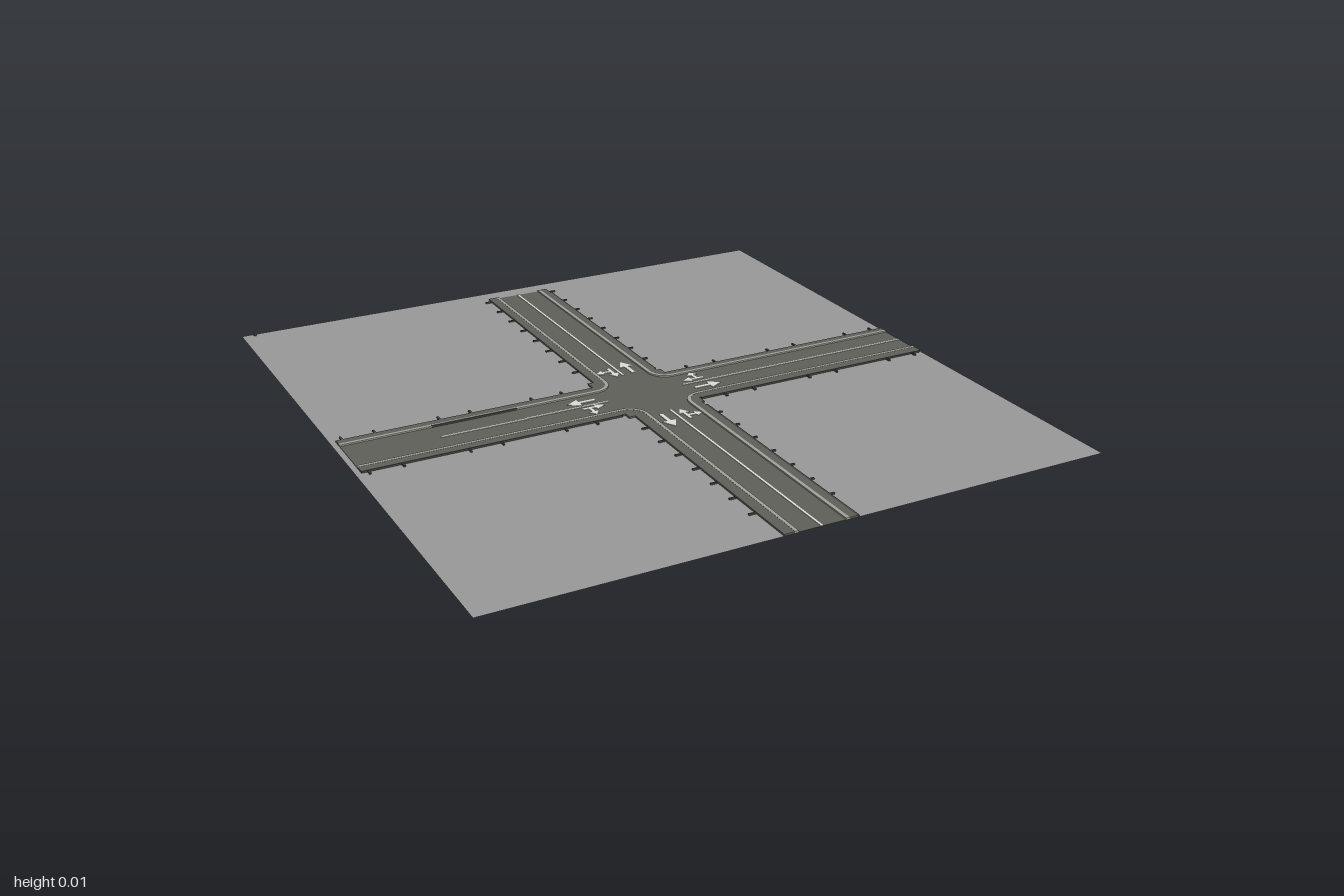
import * as THREE from 'three';

const mat = (name, color, side = THREE.FrontSide) => {
  const m = new THREE.MeshStandardMaterial({ color, side });
  m.name = name;
  return m;
};

export function createModel() {
  const ground = mat('ground grey', 0x999999, THREE.DoubleSide);
  const asphalt = mat('asphalt', 0x60605a);
  const kerbStone = mat('kerb stone', 0xa2a29c);
  const paint = mat('white paint', 0xdcdcd8);
  const dark = mat('dark edging', 0x454542);

  const model = new THREE.Group();
  model.name = 'crossroads';

  const add = (name, geo, material) => {
    const mesh = new THREE.Mesh(geo, material);
    mesh.name = name;
    model.add(mesh);
    return mesh;
  };
  // Slab given by its plan rectangle and its bottom and top heights
  const slab = (name, x0, x1, z0, z1, y0, y1, material) => {
    const geo = new THREE.BoxGeometry(x1 - x0, y1 - y0, z1 - z0);
    geo.translate((x0 + x1) / 2, (y0 + y1) / 2, (z0 + z1) / 2);
    return add(name, geo, material);
  };
  // Slab with a plan outline of [x, z] points
  const outline = (name, points, y0, y1, material) => {
    const shape = new THREE.Shape(points.map(([x, z]) => new THREE.Vector2(x, -z)));
    const geo = new THREE.ExtrudeGeometry(shape, { depth: y1 - y0, bevelEnabled: false });
    geo.rotateX(-Math.PI / 2).translate(0, y0, 0);
    return add(name, geo, material);
  };

  // Ground
  add('ground', new THREE.PlaneGeometry(1.915, 2).rotateX(-Math.PI / 2), ground);
  slab('groundMarker', -0.92, -0.912, -1, -0.985, 0, 0.004, dark);

  // Carriageways
  const roadTop = 0.002;
  [
    ['junctionSurface', -0.12, 0.135, -0.105, 0.175],
    ['northRoad', -0.1, 0.12, -0.935, -0.105],
    ['southRoad', -0.1, 0.125, 0.175, 1],
    ['westRoad', -0.94, -0.12, -0.07, 0.15],
    ['eastRoad', 0.135, 0.955, -0.075, 0.145],
  ].forEach(([name, ...r]) => slab(name, ...r, 0.0005, roadTop, asphalt));

  // Raised pavement and kerb round each corner of the junction
  const radius = 0.06;
  const corners = [
    { name: 'northWest', sx: -1, sz: -1, kx: -0.061, kz: -0.034, ox: -0.1, oz: -0.07, px: -0.12, pz: -0.105, ex: -0.94, ez: -0.935 },
    { name: 'northEast', sx: 1, sz: -1, kx: 0.087, kz: -0.042, ox: 0.12, oz: -0.075, px: 0.135, pz: -0.105, ex: 0.955, ez: -0.935 },
    { name: 'southWest', sx: -1, sz: 1, kx: -0.056, kz: 0.113, ox: -0.1, oz: 0.15, px: -0.12, pz: 0.175, ex: -0.94, ez: 1 },
    { name: 'southEast', sx: 1, sz: 1, kx: 0.09, kz: 0.104, ox: 0.125, oz: 0.145, px: 0.135, pz: 0.175, ex: 0.955, ez: 1 },
  ];
  for (const c of corners) {
    const edge = (offset) => {
      const pts = [[c.kx + c.sx * offset, c.ez]];
      for (let i = 0; i <= 10; i++) {
        const t = (i / 10) * Math.PI / 2;
        pts.push([
          c.kx + c.sx * (radius - Math.cos(t) * (radius - offset)),
          c.kz + c.sz * (radius - Math.sin(t) * (radius - offset)),
        ]);
      }
      pts.push([c.ex, c.kz + c.sz * offset]);
      return pts;
    };
    const kerbWidth = 0.011;
    outline(c.name + 'Kerb', [...edge(0), ...edge(kerbWidth).reverse()], 0.001, 0.0065, kerbStone);
    outline(c.name + 'Pavement', [
      ...edge(kerbWidth),
      [c.ex, c.oz], [c.px, c.oz], [c.px, c.pz], [c.ox, c.pz], [c.ox, c.ez],
    ], 0.001, 0.006, asphalt);

    // Short posts along the outer edges
    for (let i = 0; i < 8; i++) {
      const d = 0.22 + i * 0.1;
      const z = c.sz < 0 ? -d + 0.01 : d + 0.04;
      const x = c.sx * d;
      const x1 = c.ox + c.sx * 0.022, z1 = c.oz + c.sz * 0.022;
      if (Math.abs(z) < 0.92) {
        slab('verticalRoadPost', Math.min(c.ox, x1), Math.max(c.ox, x1), z - 0.003, z + 0.003, 0.0005, 0.005, dark);
      }
      if (i % 3 !== 2) {
        slab('sideRoadPost', x - 0.003, x + 0.003, Math.min(c.oz, z1), Math.max(c.oz, z1), 0.0005, 0.005, dark);
      }
    }
  }

  // Dark edging strips
  slab('southEdging', 0.125, 0.132, 0.2, 1, 0.0005, 0.006, dark);
  slab('northEdging', 0.12, 0.125, -0.9, -0.12, 0.0005, 0.006, dark);
  slab('westEdging', -0.94, -0.13, 0.15, 0.155, 0.0005, 0.006, dark);
  slab('eastEdging', 0.14, 0.95, 0.145, 0.15, 0.0005, 0.006, dark);
  slab('westGutter', -0.66, -0.39, -0.04, -0.033, 0.002, 0.0072, dark);

  // Centre lines
  const lineTop = 0.0035;
  [
    ['northCentreLine', 0.007, 0.014, -0.935, -0.12],
    ['southCentreLine', 0.012, 0.019, 0.18, 1],
    ['westCentreLineFar', -0.66, -0.39, 0.038, 0.044],
    ['westCentreLineNear', -0.39, -0.12, 0.035, 0.041],
    ['eastCentreLine', 0.14, 0.955, 0.028, 0.034],
  ].forEach(([name, ...r]) => slab(name, ...r, 0.0015, lineTop, paint));

  // Lane arrows: drawn pointing north with the tail at the origin, then turned
  const straight = [[
    [-0.006, 0], [0.006, 0], [0.006, 0.052], [0.022, 0.052],
    [0, 0.092], [-0.022, 0.052], [-0.006, 0.052],
  ]];
  const straightOrRight = [[
    [-0.005, 0], [0.005, 0], [0.005, 0.018], [0.028, 0.018], [0.028, 0.006],
    [0.05, 0.023], [0.028, 0.04], [0.028, 0.028], [0.005, 0.028], [0.005, 0.042],
    [0.017, 0.042], [0, 0.072], [-0.017, 0.042], [-0.005, 0.042],
  ]];
  const arrow = (name, [points], x, z, turn) => {
    const mesh = outline(name, points.map(([px, pn]) => [px, -pn]), 0.0015, lineTop, paint);
    mesh.position.set(x, 0, z);
    mesh.rotation.y = turn;
  };
  const q = Math.PI / 2;
  arrow('northExitArrow', straight, 0.05, -0.125, 0);
  arrow('southExitArrow', straight, -0.025, 0.195, 2 * q);
  arrow('westExitArrow', straight, -0.152, 0.008, q);
  arrow('eastExitArrow', straight, 0.162, 0.068, -q);
  arrow('northEntryArrow', straightOrRight, -0.01, -0.187, 2 * q);
  arrow('southEntryArrow', straightOrRight, 0.042, 0.26, 0);
  arrow('westEntryArrow', straightOrRight, -0.215, 0.057, -q);
  arrow('eastEntryArrow', straightOrRight, 0.225, 0.008, q);

  return model;
}
